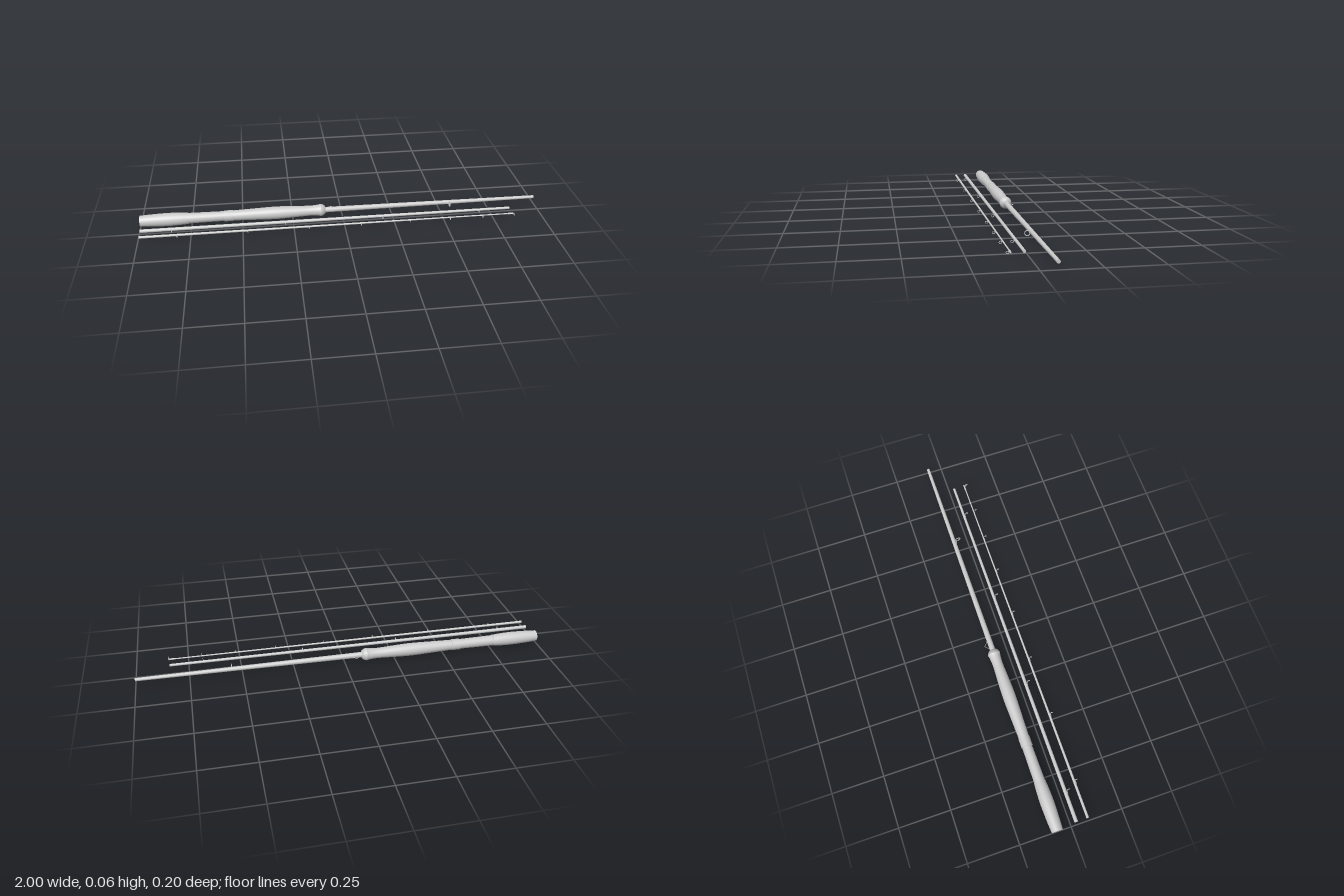
import * as THREE from 'three';

const Y = 0.033;
const material = new THREE.MeshStandardMaterial({ color: 0xcccccc, side: THREE.DoubleSide });

function addMesh(parent, name, geometry, x = 0, y = 0, z = 0) {
  const mesh = new THREE.Mesh(geometry, material);
  mesh.name = name;
  mesh.position.set(x, y, z);
  parent.add(mesh);
  return mesh;
}

// Turned solid along x from [x, radius] pairs, with sharp ends
function turned(points, segments = 32) {
  const profile = points.map(([x, r]) => new THREE.Vector2(r, x));
  return new THREE.LatheGeometry(profile, segments).rotateZ(-Math.PI / 2);
}

// Tapered blank with flat end caps
function blank(x0, x1, r0, r1) {
  return new THREE.CylinderGeometry(r1, r0, x1 - x0, 20)
    .rotateZ(-Math.PI / 2).translate((x0 + x1) / 2, 0, 0);
}

// Swollen cork section: smooth curve through [x, radius] pairs, closed by end discs
function cork(points) {
  const curve = new THREE.SplineCurve(points.map(([x, r]) => new THREE.Vector2(x, r)));
  return turned(curve.getPoints(24).map((p) => [p.x, p.y]));
}

function disc(x, r, dir) {
  return new THREE.CircleGeometry(r, 32).rotateY(dir * Math.PI / 2).translate(x, 0, 0);
}

// Line guide on the +z side: an upright ring and a wire foot on the blank
function addGuide(parent, x, rodRadius, ringZ, ringRadius, wire) {
  const guide = new THREE.Group();
  guide.name = 'lineGuide';
  guide.position.x = x;
  addMesh(guide, 'guideRing',
    new THREE.TorusGeometry(ringRadius, wire, 8, 20).rotateY(Math.PI / 2), 0, 0, ringZ);
  const foot = new THREE.CatmullRomCurve3([
    new THREE.Vector3(-0.02, 0, rodRadius),
    new THREE.Vector3(-0.008, 0, rodRadius + wire),
    new THREE.Vector3(0, 0, Math.max(rodRadius, ringZ - ringRadius)),
  ]);
  addMesh(guide, 'guideFoot', new THREE.TubeGeometry(foot, 8, wire, 6));
  parent.add(guide);
}

function addSection(parent, name, z, x0, x1, r0, r1, guides, ringZ, ringRadius, wire) {
  const section = new THREE.Group();
  section.name = name;
  section.position.set(0, Y, z);
  addMesh(section, 'blank', blank(x0, x1, r0, r1));
  for (const x of guides) {
    const t = (x - x0) / (x1 - x0);
    addGuide(section, x, r0 + (r1 - r0) * t, ringZ, ringRadius, wire);
  }
  parent.add(section);
  return section;
}

export function createModel() {
  const rod = new THREE.Group();
  rod.name = 'threePieceRod';

  // Butt section with handle
  const butt = addSection(rod, 'buttSection', -0.07, -0.1, 1, 0.014, 0.008,
    [0.55], 0.024, 0.0115, 0.002);
  addMesh(butt, 'buttGrip', cork([[-1, 0.027], [-0.95, 0.03], [-0.87, 0.0325],
    [-0.81, 0.031], [-0.765, 0.028]]));
  addMesh(butt, 'buttCap', disc(-1, 0.027, -1));
  addMesh(butt, 'gripShoulder', disc(-0.765, 0.028, 1));
  addMesh(butt, 'reelSeat', blank(-0.765, -0.585, 0.0265, 0.0245));
  addMesh(butt, 'seatCollar', blank(-0.59, -0.545, 0.0275, 0.0275));
  addMesh(butt, 'foreGrip', cork([[-0.545, 0.0255], [-0.46, 0.028], [-0.34, 0.0315],
    [-0.25, 0.029], [-0.17, 0.0255], [-0.125, 0.0275], [-0.108, 0.031]]));
  addMesh(butt, 'gripFlare', turned([[-0.108, 0.031], [-0.098, 0.0285], [-0.086, 0.02],
    [-0.084, 0.013]]));

  // Hook keeper: a small wire triangle behind the blank
  const keeper = new THREE.CatmullRomCurve3([
    new THREE.Vector3(-0.075, 0, -0.013),
    new THREE.Vector3(-0.055, 0, -0.031),
    new THREE.Vector3(-0.035, 0, -0.013),
  ], false, 'catmullrom', 0.1);
  addMesh(butt, 'hookKeeper', new THREE.TubeGeometry(keeper, 16, 0.0012, 6));

  // Middle and tip sections
  addSection(rod, 'middleSection', 0.026, -0.99, 0.84, 0.009, 0.0065,
    [-0.84, -0.29, 0.19, 0.68], 0.019, 0.006, 0.0012);
  const tip = addSection(rod, 'tipSection', 0.082, -0.99, 0.84, 0.0065, 0.003,
    [-0.81, -0.475, -0.18, 0.075, 0.32, 0.52, 0.685, 0.845], 0.013, 0.0055, 0.0012);
  addMesh(tip, 'tipSleeve', blank(0.815, 0.845, 0.0042, 0.0042));

  return rod;
}
